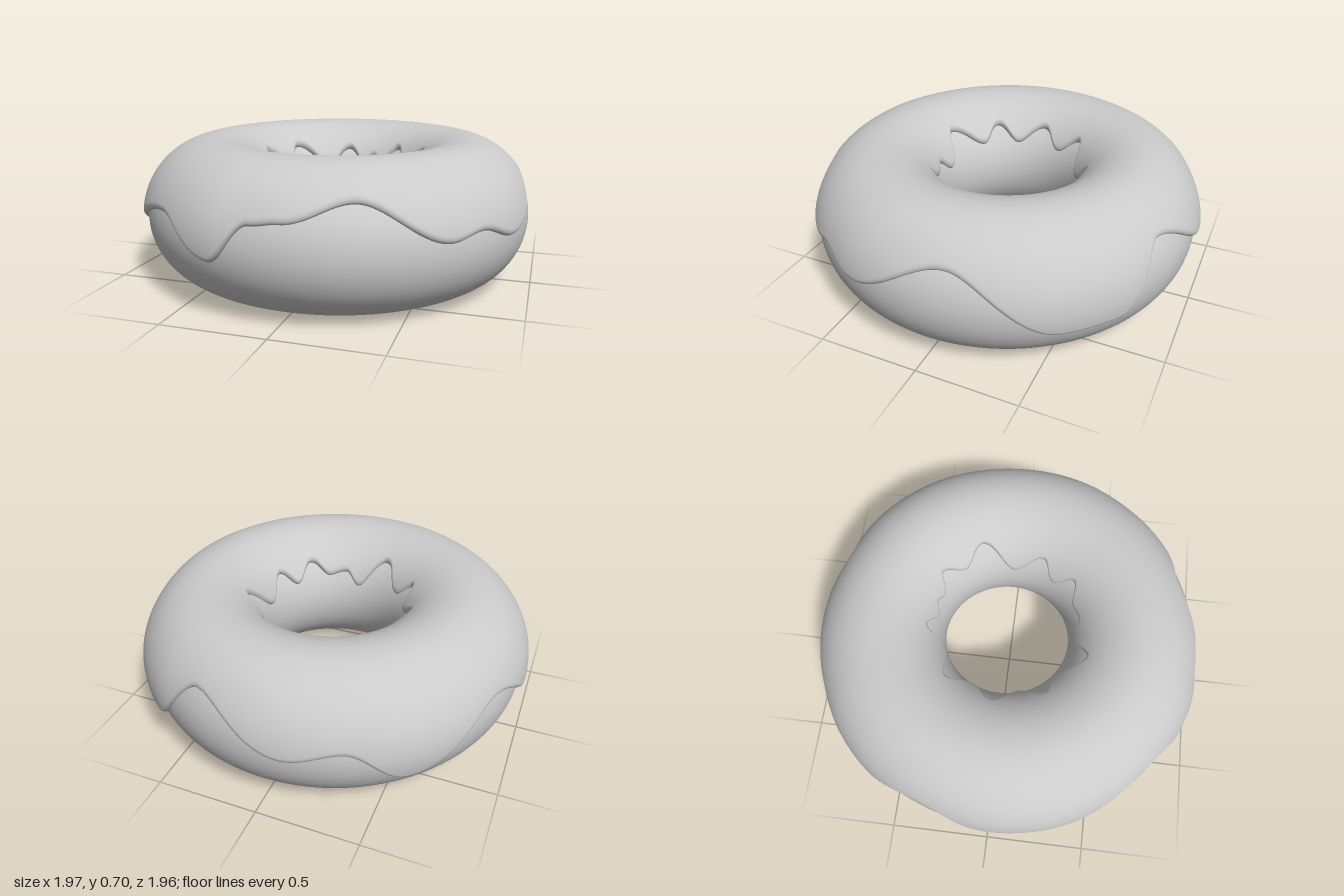
import * as THREE from 'three';

const RING = 0.648, HALF_W = 0.322, HALF_H = 0.33, MID_Y = 0.33;
const STEPS = 360;

// Edge heights around the ring: [degrees from +x towards +z, y]
const OUTER_EDGE = [
  [-7, 0.52], [21, 0.34], [34, 0.40], [44, 0.375], [69, 0.55], [88, 0.47], [96, 0.455],
  [107, 0.28], [128, 0.43], [172, 0.23], [200, 0.43], [230, 0.22], [247, 0.385],
  [262, 0.335], [290, 0.52], [307, 0.25], [322, 0.245],
];
const INNER_EDGE = [
  [0, 0.45], [22, 0.545], [36, 0.47], [51, 0.555], [66, 0.49], [80, 0.51], [93, 0.45],
  [111, 0.585], [135, 0.50], [148, 0.575], [164, 0.50], [184, 0.575], [202, 0.50],
  [218, 0.575], [242, 0.46], [260, 0.555], [273, 0.49], [282, 0.52], [290, 0.50],
  [302, 0.57], [318, 0.515], [336, 0.585],
];

// Smooth periodic interpolation between the edge's highs and lows
function edgeHeight(knots, degrees) {
  const first = knots[0][0];
  const d = first + ((((degrees - first) % 360) + 360) % 360);
  const loop = [...knots, [first + 360, knots[0][1]]];
  const k = loop.findIndex((p, n) => n > 0 && d <= p[0]);
  const [d0, y0] = loop[k - 1], [d1, y1] = loop[k];
  return y0 + (y1 - y0) * (1 - Math.cos(Math.PI * (d - d0) / (d1 - d0))) / 2;
}

// Point on the ring, raised by h; the hole sits slightly off centre
function ringPoint(theta, phi, h) {
  const r = RING + (HALF_W + h) * Math.cos(phi);
  const inner = (1 - Math.cos(phi)) / 2;
  return [
    r * Math.cos(theta) + 0.015 * inner,
    MID_Y + (HALF_H + h) * Math.sin(phi),
    r * Math.sin(theta) - 0.015 * inner,
  ];
}

// Skin closed loops of cross-sections; each section has `count` points
function skin(count, closedSection, pointAt) {
  const positions = [], index = [];
  for (let i = 0; i < STEPS; i++) {
    for (let j = 0; j < count; j++) positions.push(...pointAt(i, j));
    const spans = closedSection ? count : count - 1;
    for (let j = 0; j < spans; j++) {
      const next = ((i + 1) % STEPS) * count, up = (j + 1) % count;
      const a = i * count + j, b = i * count + up, c = next + j, d = next + up;
      index.push(a, b, c, b, d, c);
    }
  }
  const geometry = new THREE.BufferGeometry();
  geometry.setAttribute('position', new THREE.Float32BufferAttribute(positions, 3));
  geometry.setIndex(index);
  geometry.computeVertexNormals();
  return geometry;
}

function doughGeometry() {
  const count = 64;
  return skin(count, true, (i, j) =>
    ringPoint((i / STEPS) * Math.PI * 2, (j / count) * Math.PI * 2, 0));
}

function icingGeometry() {
  const lipSteps = 7, lip = 0.09, topSteps = 44;
  const count = 2 * lipSteps + topSteps + 1;
  return skin(count, false, (i, j) => {
    const degrees = (i / STEPS) * 360;
    const outerY = edgeHeight(OUTER_EDGE, degrees);
    const innerY = edgeHeight(INNER_EDGE, degrees);
    const start = Math.asin((outerY - MID_Y) / HALF_H);
    const end = Math.PI - Math.asin((innerY - MID_Y) / HALF_H);

    // Rounded lips at both edges, even spacing across the top
    const k = Math.min(j, count - 1 - j);
    let fromEdge, round = 1;
    if (k < lipSteps) {
      const q = (k / lipSteps) * Math.PI / 2;
      fromEdge = lip * (1 - Math.cos(q));
      round = Math.sin(q);
    }
    const phi = k < lipSteps
      ? (j < count / 2 ? start + fromEdge : end - fromEdge)
      : start + lip + (end - start - 2 * lip) * (j - lipSteps) / topSteps;

    // Thicker on top and in the low drips
    const drip = THREE.MathUtils.clamp((0.5 - outerY) / 0.25, 0, 1);
    const outerThickness = 0.018 + 0.012 * drip;
    const side = Math.max(0, Math.cos(phi));
    const top = Math.max(0, Math.sin(phi));
    const innerThickness = 0.015 + 0.025 * top;
    const thickness = THREE.MathUtils.lerp(innerThickness, outerThickness, side * side);
    return ringPoint(degrees * Math.PI / 180, phi, k === 0 ? -0.008 : thickness * round);
  });
}

export function createModel() {
  const group = new THREE.Group();
  group.name = 'doughnut';
  const material = new THREE.MeshStandardMaterial({ color: 0xcccccc });

  const dough = new THREE.Mesh(doughGeometry(), material);
  dough.name = 'dough';

  const icingMaterial = material.clone();
  icingMaterial.side = THREE.DoubleSide;
  const icing = new THREE.Mesh(icingGeometry(), icingMaterial);
  icing.name = 'icing';

  group.add(dough, icing);
  return group;
}
